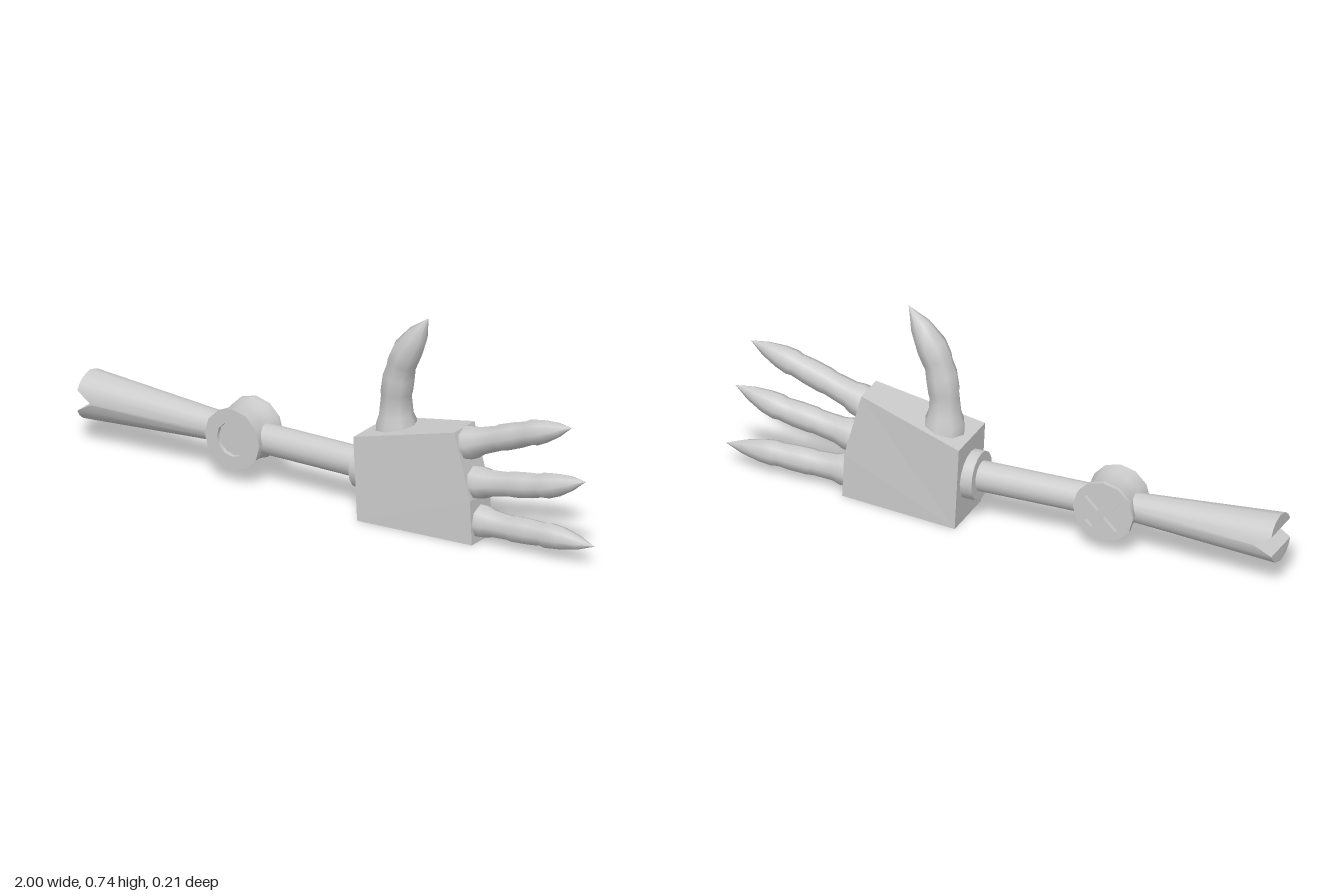
import * as THREE from 'three';
import { toCreasedNormals } from 'three/addons/utils/BufferGeometryUtils.js';

const material = new THREE.MeshStandardMaterial({ color: 0xcccccc });
const AXIS_Y = 0.158;

function add(parent, name, geometry, x = 0, y = 0, z = 0) {
  const mesh = new THREE.Mesh(geometry, material);
  mesh.name = name;
  mesh.position.set(x, y, z);
  parent.add(mesh);
  return mesh;
}

// Skin closed rings of points; extra triangles may close an end
function loft(rings, extra = [], crease = 0.9) {
  const m = rings[0].length, index = [];
  for (let i = 0; i < rings.length - 1; i++) {
    for (let k = 0; k < m; k++) {
      const a = i * m + k, b = i * m + (k + 1) % m;
      index.push(a, a + m, b, b, a + m, b + m);
    }
  }
  const g = new THREE.BufferGeometry().setFromPoints(rings.flat());
  g.setIndex(index.concat(extra));
  return toCreasedNormals(g, crease);
}

// Tapered upper arm with a V notch across its free end
function upperArmGeometry() {
  const half = [-90, -60, -42, -25, 0, 25, 42, 60, 90];
  const n = half.length, m = 2 * (n - 1);
  const angles = [...half, ...half.slice(1, -1).reverse().map(a => 180 - a)];
  const ring = (x, r, notch) => angles.map(deg => {
    const a = deg * Math.PI / 180, y = r * Math.sin(a);
    const dx = notch * Math.max(0, 1 - Math.abs(y) / 0.036);
    return new THREE.Vector3(x + dx, y, r * Math.cos(a));
  });
  const cap = [];
  for (let k = 0; k < n - 1; k++) {
    const back = (m - k) % m, backNext = m - k - 1;
    cap.push(back, k, k + 1, back, k + 1, backNext);
  }
  return loft([ring(-1, 0.085, 0.06), ring(-0.42, 0.046, 0)], cap, 0.65);
}

// Eight-sided digit following a curve, pinched at its joints
function digitGeometry(points, profile) {
  const curve = new THREE.CatmullRomCurve3(points.map(p => new THREE.Vector3(...p)));
  const side = new THREE.Vector3(0, 0, 1);
  return loft(profile.map(([t, r]) => {
    const c = curve.getPoint(t);
    const normal = side.clone().cross(curve.getTangent(t)).normalize();
    return Array.from({ length: 8 }, (_, k) => {
      const a = k * Math.PI / 4;
      return c.clone().addScaledVector(normal, r * Math.sin(a)).addScaledVector(side, r * Math.cos(a));
    });
  }));
}

// Palm outline extruded, then tapered in thickness towards the fingers
function palmGeometry() {
  const outline = [[0.125, 0], [0.557, 0], [0.55, 0.155], [0.488, 0.386], [0.11, 0.295]];
  const g = new THREE.ExtrudeGeometry(
    new THREE.Shape(outline.map(p => new THREE.Vector2(...p))), { depth: 1, bevelEnabled: false });
  const pos = g.attributes.position;
  for (let i = 0; i < pos.count; i++) {
    const wrist = pos.getX(i) < 0.3, front = pos.getZ(i) > 0.5;
    pos.setZ(i, front ? (wrist ? 0.107 : 0.075) : (wrist ? -0.107 : -0.045));
  }
  g.computeVertexNormals();
  return g;
}

function buildElbow(parent) {
  const elbow = new THREE.Group();
  elbow.name = 'elbow';
  elbow.position.set(-0.392, AXIS_Y, 0);
  parent.add(elbow);

  // Waisted drum with a round recess in front
  const profile = [[0, -0.055], [0.108, -0.055], [0.099, -0.02], [0.099, 0.025], [0.108, 0.073],
    [0.06, 0.073], [0.06, 0.058], [0, 0.058]].map(p => new THREE.Vector2(...p));
  const drum = new THREE.LatheGeometry(profile, 12).rotateX(Math.PI / 2);
  add(elbow, 'elbowDrum', toCreasedNormals(drum, 0.6));

  // Back plate with a cross-shaped slot
  const disc = new THREE.Shape(Array.from({ length: 12 }, (_, i) =>
    new THREE.Vector2(0.108 * Math.cos(i * Math.PI / 6), 0.108 * Math.sin(i * Math.PI / 6))));
  const cross = [], w = 0.016, l = 0.078, center = new THREE.Vector2();
  for (let q = 0; q < 4; q++) {
    for (const [x, y] of [[l, -w], [l, w], [w, w]]) {
      cross.push(new THREE.Vector2(x, y).rotateAround(center, q * Math.PI / 2 + Math.PI / 4));
    }
  }
  disc.holes.push(new THREE.Path(cross));
  const plate = new THREE.ExtrudeGeometry(disc, { depth: 0.015, bevelEnabled: false });
  add(elbow, 'elbowBackPlate', toCreasedNormals(plate, 0.6), 0, 0, -0.07);
}

export function createModel() {
  const model = new THREE.Group();
  model.name = 'mechanicalArm';

  // Arm
  add(model, 'upperArm', upperArmGeometry(), 0, AXIS_Y + 0.002, 0.002);
  buildElbow(model);
  const rod = (r, length) => new THREE.CylinderGeometry(r, r, length, 16).rotateZ(Math.PI / 2);
  add(model, 'forearm', rod(0.052, 0.44), -0.12, AXIS_Y, 0);
  add(model, 'wristCollar', rod(0.084, 0.05), 0.1, AXIS_Y, 0);

  // Hand
  add(model, 'palm', palmGeometry());
  const fingerProfile = [[0, 0.058], [0.08, 0.056], [0.14, 0.047], [0.3, 0.043], [0.34, 0.046],
    [0.5, 0.045], [0.62, 0.041], [0.67, 0.045], [0.76, 0.04], [0.88, 0.025], [1, 0]];
  const fingers = {
    upperFinger: [[0.49, 0.328, 0.015], [0.64, 0.383, 0.015], [0.76, 0.427, 0.012], [0.91, 0.477, 0.01]],
    middleFinger: [[0.52, 0.197, 0.015], [0.685, 0.226, 0.015], [0.81, 0.25, 0.012], [0.965, 0.298, 0.01]],
    lowerFinger: [[0.54, 0.067, 0.015], [0.69, 0.068, 0.015], [0.82, 0.074, 0.012], [1, 0.075, 0.01]]
  };
  for (const [name, points] of Object.entries(fingers)) {
    add(model, name, digitGeometry(points, fingerProfile));
  }
  const thumbProfile = [[0, 0.072], [0.1, 0.068], [0.16, 0.058], [0.31, 0.052], [0.35, 0.055],
    [0.5, 0.055], [0.6, 0.05], [0.65, 0.053], [0.74, 0.053], [0.87, 0.036], [1, 0]];
  add(model, 'thumb', digitGeometry(
    [[0.207, 0.295, -0.006], [0.21, 0.44, 0], [0.24, 0.565, 0.004], [0.34, 0.735, 0.005]], thumbProfile));

  return model;
}
